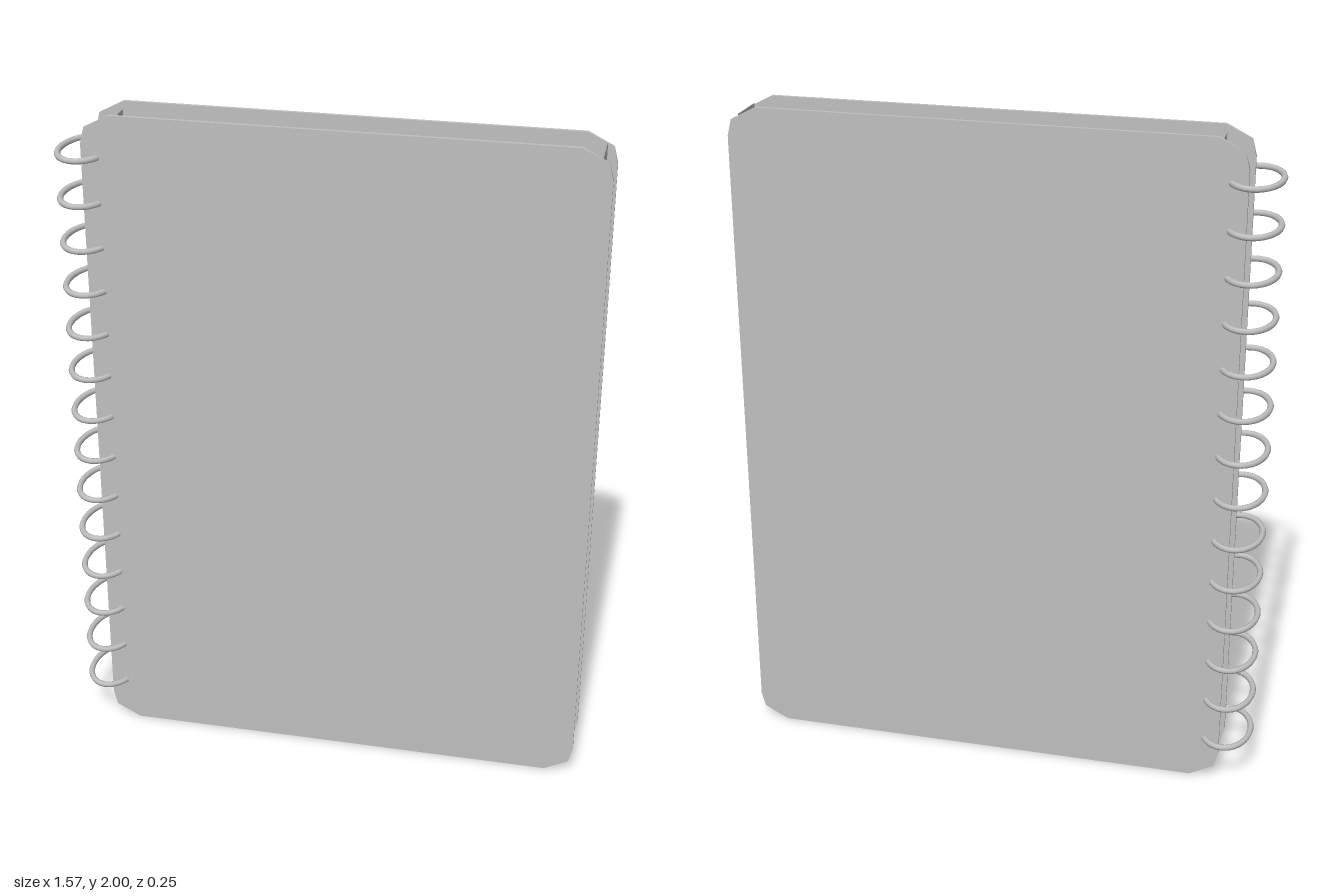
import * as THREE from 'three';

const grey = new THREE.MeshStandardMaterial({ color: 0xbfbfbf, side: THREE.DoubleSide });
grey.name = 'grey';

const CX = 0.0475, CY = 1, HALF_W = 0.7375, HALF_H = 1;

// Rectangle outline with two-step cut corners, counter-clockwise, around the origin
function coverOutline() {
  const w = HALF_W, h = HALF_H;
  const corner = [[w, h - 0.085], [w - 0.012, h - 0.038], [w - 0.085, h]];
  const flip = (sx, sy) => corner.map(([x, y]) => [x * sx, y * sy]);
  return [...corner, ...flip(-1, 1).reverse(), ...flip(-1, -1), ...flip(1, -1).reverse()];
}

// Thin board: flat inside, very slightly domed outside, built from scaled outline rings
function coverGeometry() {
  const outline = coverOutline(), n = outline.length;
  const rings = [[0, 0.065], [1, 0.065], [1, 0.065], [1, 0.076], [1, 0.076], [0.75, 0.079], [0.5, 0.081], [0, 0.083]];
  const position = [], index = [];
  for (const [s, z] of rings) for (const [x, y] of outline) position.push(x * s, y * s, z);
  for (let r = 0; r < rings.length - 1; r++) {
    if (r === 1 || r === 3) continue; // doubled rings keep the rim sharp
    for (let i = 0; i < n; i++) {
      const a = r * n + i, b = r * n + (i + 1) % n, c = a + n, d = b + n;
      if (rings[r][0] > 0) index.push(a, b, c);
      if (rings[r + 1][0] > 0) index.push(b, d, c);
    }
  }
  const g = new THREE.BufferGeometry();
  g.setAttribute('position', new THREE.Float32BufferAttribute(position, 3));
  g.setIndex(index);
  // Collapsed centre rings: use the centre for every triangle touching them
  g.computeVertexNormals();
  return g;
}

// Closed ellipse lying flat
class LoopCurve extends THREE.Curve {
  getPoint(t, target = new THREE.Vector3()) {
    const a = t * Math.PI * 2;
    return target.set(0.074 * Math.cos(a), 0, 0.117 * Math.sin(a));
  }
}

export function createModel() {
  const model = new THREE.Group();
  model.name = 'spiralNotebook';
  const add = (name, geometry, x, y, z) => {
    const mesh = new THREE.Mesh(geometry, grey);
    mesh.name = name;
    mesh.position.set(x, y, z);
    model.add(mesh);
    return mesh;
  };

  // Covers
  const cover = coverGeometry();
  add('frontCover', cover, CX, CY, 0);
  add('backCover', cover, CX, CY, 0).rotation.y = Math.PI;

  // Page edges between the covers, open at top and bottom
  const pageEdge = new THREE.PlaneGeometry(0.13, 1.945);
  add('pageForeEdge', pageEdge, 0.755, 1.003, 0).rotation.y = Math.PI / 2;
  add('pageSpineEdge', pageEdge, -0.608, 1.003, 0).rotation.y = -Math.PI / 2;

  // Binding rings
  const ring = new THREE.TubeGeometry(new LoopCurve(), 40, 0.009, 8, true);
  for (let i = 0; i < 14; i++) add('bindingRing' + (i + 1), ring, -0.702, 0.135 + i * 0.1339, 0);

  return model;
}
